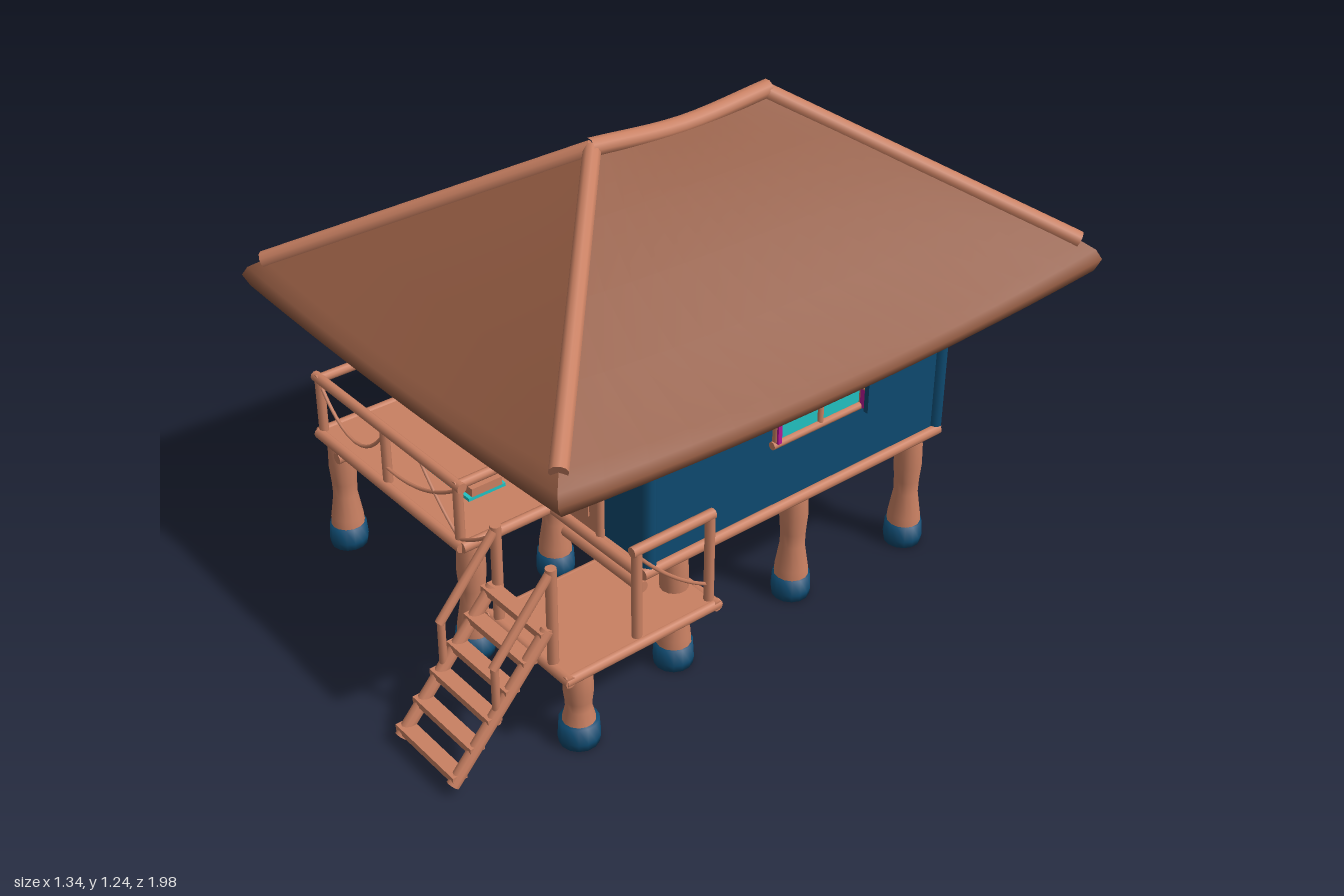
import * as THREE from 'three';

const mat = (name, color, side = THREE.FrontSide) => {
  const m = new THREE.MeshStandardMaterial({ color, side });
  m.name = name;
  return m;
};

export function createModel() {
  const root = new THREE.Group();
  root.name = 'stiltHouse';
  const wood = mat('wood', 0xc98062);
  const roofBrown = mat('roofBrown', 0x935b42, THREE.DoubleSide);
  const blue = mat('wallBlue', 0x0e4a70);
  const teal = mat('glassTeal', 0x22c2c2);
  const magenta = mat('shutterMagenta', 0xb81895);
  const V = (x, y, z) => new THREE.Vector3(x, y, z);

  const add = (name, geo, material, parent = root) => {
    const m = new THREE.Mesh(geo, material);
    m.name = name;
    parent.add(m);
    return m;
  };
  // box given by its min and max corners
  const box = (name, a, b, material, parent) => {
    const m = add(name, new THREE.BoxGeometry(b[0] - a[0], b[1] - a[1], b[2] - a[2]), material, parent);
    m.position.set((a[0] + b[0]) / 2, (a[1] + b[1]) / 2, (a[2] + b[2]) / 2);
    return m;
  };
  // round pole between two points
  const rod = (name, a, b, r, parent, material = wood) => {
    const p = V(...a), q = V(...b), d = q.clone().sub(p);
    const m = add(name, new THREE.CylinderGeometry(r, r, d.length(), 10), material, parent);
    m.position.copy(p).add(q).multiplyScalar(0.5);
    m.quaternion.setFromUnitVectors(V(0, 1, 0), d.normalize());
    return m;
  };
  const rope = (name, a, b, sag, parent) => {
    const p = V(...a), q = V(...b), mid = p.clone().add(q).multiplyScalar(0.5);
    mid.y -= sag * 2;
    add(name, new THREE.TubeGeometry(new THREE.QuadraticBezierCurve3(p, mid, q), 12, 0.005, 5), wood, parent);
  };

  // Hipped roof: each face runs ridge -> eave -> rounded lip -> underside
  const roof = new THREE.Group();
  roof.name = 'roof';
  root.add(roof);
  const rF = 0.16, rB = -0.4, ridgeY = 1.21;
  const ring = (w, zf, zb, y) => [V(-w, y, zf), V(w, y, zf), V(w, y, zb), V(-w, y, zb)];
  const ridgeAt = (y) => [V(0, y, rF), V(0, y, rF), V(0, y, rB), V(0, y, rB)];
  const eave = ring(0.62, 0.74, -0.95, 0.85);
  const top = ridgeAt(ridgeY);
  const slope = [0, 0.25, 0.5, 0.75, 1].map((v) => ({ c: top.map((p, i) => p.clone().lerp(eave[i], v)), sag: 0.045 * v * v }));
  const rings = [
    ...slope,
    { c: ring(0.655, 0.77, -0.98, 0.825), sag: 0.035 },
    { c: ring(0.67, 0.78, -0.99, 0.8), sag: 0.03 },
    { c: ring(0.66, 0.765, -0.975, 0.768), sag: 0.025 },
    { c: ring(0.63, 0.73, -0.94, 0.775), sag: 0.02 },
    { c: ridgeAt(1.14), sag: 0 },
  ];
  const N = 14;
  ['roofFront', 'roofRight', 'roofBack', 'roofLeft'].forEach((name, f) => {
    const pos = [], idx = [], side = f % 2 ? 1.3 : 0.7;
    rings.forEach(({ c, sag }, r) => {
      for (let i = 0; i <= N; i++) {
        const t = i / N, p = c[f].clone().lerp(c[(f + 1) % 4], t), bow = 4 * t * (1 - t);
        const dip = r === 0 && f % 2 ? 0.012 : sag * side;
        pos.push(p.x, p.y - bow * dip, p.z);
        if (r < rings.length - 1 && i < N) {
          const a = r * (N + 1) + i, b = a + N + 1;
          idx.push(a, b, b + 1, a, b + 1, a + 1);
        }
      }
    });
    const g = new THREE.BufferGeometry();
    g.setAttribute('position', new THREE.Float32BufferAttribute(pos, 3));
    g.setIndex(idx);
    g.computeVertexNormals();
    add(name, g, roofBrown, roof);
  });
  // hip and ridge poles
  eave.forEach((e, i) => rod('hipPole', [0, ridgeY, i < 2 ? rF : rB], [e.x, e.y, e.z], 0.023, roof));
  const ridgeCurve = new THREE.CatmullRomCurve3([V(0, 1.215, rF + 0.01), V(0, 1.193, -0.12), V(0, 1.215, rB - 0.01)]);
  add('ridgePole', new THREE.TubeGeometry(ridgeCurve, 12, 0.025, 10), wood, roof);

  // Walls with corner posts
  box('walls', [-0.51, 0.37, -0.59], [0.505, 0.86, 0.4], blue);
  for (const x of [-0.505, 0.5]) for (const z of [-0.585, 0.395]) rod('cornerPost', [x, 0.37, z], [x, 0.84, z], 0.02, root, blue);

  // Floor, front deck and edge beams
  box('floor', [-0.51, 0.345, -0.59], [0.51, 0.372, 0.42], wood);
  box('frontDeck', [-0.51, 0.345, 0.4], [0.15, 0.372, 0.69], wood);
  const edge = [[-0.51, 0.69], [0.15, 0.69], [0.15, 0.42], [0.51, 0.42], [0.51, -0.59], [-0.51, -0.59]];
  edge.forEach((p, i) => {
    const q = edge[(i + 1) % edge.length];
    rod('edgeBeam', [p[0], 0.362, p[1]], [q[0], 0.362, q[1]], 0.015);
  });
  rod('underBeam', [-0.41, 0.335, 0.7], [-0.41, 0.335, 0.23], 0.016);
  rod('underBeam', [0.21, 0.325, 0.42], [0.51, 0.325, 0.42], 0.016);

  // Turned stilts on painted feet
  const stilts = [[0.46, -0.54], [-0.02, -0.54], [-0.48, -0.41], [0.44, -0.14], [-0.41, 0.08], [-0.03, 0.28],
    [0.46, 0.28], [-0.49, 0.28], [0.11, 0.64], [-0.49, 0.64], [0.54, 0.64, 0.22]];
  const lathe = (pts) => new THREE.LatheGeometry(pts.map((p) => new THREE.Vector2(p[0], p[1])), 14);
  const footGeo = lathe([[0, 0], [0.05, 0], [0.053, 0.02], [0.05, 0.065], [0, 0.07]]);
  const legGeo = lathe([[0.046, 0.06], [0.044, 0.09], [0.033, 0.16], [0.034, 0.2], [0.038, 0.25], [0.036, 0.31], [0.032, 0.35]]);
  for (const [x, z, h = 0.35] of stilts) {
    add('stiltLeg', legGeo, wood).position.set(x, 0, z);
    root.children.at(-1).scale.y = h / 0.35;
    add('stiltFoot', footGeo, blue).position.set(x, 0, z);
  }

  // Window facing +z, centred on its own origin
  const makeWindow = (name, w, h, divider = true) => {
    const g = new THREE.Group();
    g.name = name;
    box('pane', [-w / 2, -h / 2, 0], [w / 2, h / 2, 0.008], teal, g);
    for (const s of [-1, 1]) {
      rod('frameSide', [s * w / 2, -h / 2, 0.008], [s * w / 2, h / 2, 0.008], 0.011, g);
      rod('frameRail', [-w / 2 - 0.015, s * h / 2, 0.008], [w / 2 + 0.015, s * h / 2, 0.008], 0.011, g);
    }
    if (divider) rod('mullion', [0, -h / 2, 0.008], [0, h / 2, 0.008], 0.009, g);
    root.add(g);
    return g;
  };
  makeWindow('frontWindow', 0.41, 0.19).position.set(-0.275, 0.655, 0.403);
  const sideWindow = makeWindow('sideWindow', 0.29, 0.145);
  sideWindow.position.set(0.508, 0.635, -0.14);
  sideWindow.rotation.y = Math.PI / 2;
  const backWindow = makeWindow('backWindow', 0.29, 0.145);
  backWindow.position.set(0.19, 0.635, -0.593);
  backWindow.rotation.y = Math.PI;
  const smallBack = makeWindow('smallBackWindow', 0.13, 0.09, false);
  smallBack.position.set(-0.04, 0.61, -0.593);
  smallBack.rotation.y = Math.PI;
  // narrow shutters standing open
  box('sideShutter', [0.515, 0.56, -0.3], [0.535, 0.7, -0.275], magenta);
  box('sideShutter', [0.515, 0.57, 0], [0.53, 0.7, 0.012], magenta);
  box('openShutter', [0.553, 0.57, -0.27], [0.567, 0.67, -0.255], blue);
  rod('shutterStay', [0.51, 0.63, -0.262], [0.56, 0.63, -0.262], 0.004);
  for (const x of [0.05, -0.28]) {
    box('backShutter', [x - 0.012, 0.56, -0.63], [x + 0.012, 0.68, -0.605], magenta);
    rod('shutterStay', [x, 0.64, -0.58], [x, 0.64, -0.61], 0.004);
  }

  // Door and lamp
  box('door', [0.145, 0.37, 0.4], [0.335, 0.77, 0.412], wood);
  for (const x of [0.14, 0.335]) rod('doorPost', [x, 0.37, 0.41], [x, 0.8, 0.41], 0.011);
  box('doorPanel', [0.185, 0.41, 0.411], [0.295, 0.69, 0.416], wood);
  rod('wallLamp', [0.06, 0.67, 0.42], [0.06, 0.71, 0.42], 0.008);

  // Deck railing with hanging ropes
  const rail = new THREE.Group();
  rail.name = 'deckRailing';
  root.add(rail);
  const posts = [-0.5, -0.19, 0.13];
  for (const x of posts) rod('railPost', [x, 0.36, 0.68], [x, 0.53, 0.68], 0.013, rail);
  rod('topRail', [-0.52, 0.53, 0.68], [0.15, 0.53, 0.68], 0.014, rail);
  for (const x of [-0.5, 0.13]) rod('sideRail', [x, 0.53, 0.69], [x, 0.53, 0.4], 0.013, rail);
  rope('rope', [-0.48, 0.51, 0.685], [-0.19, 0.51, 0.685], 0.09, rail);
  rope('rope', [-0.19, 0.42, 0.685], [0.12, 0.51, 0.685], 0.03, rail);
  rope('rope', [-0.02, 0.52, 0.685], [0.13, 0.38, 0.685], 0.01, rail);
  rope('rope', [0.14, 0.38, 0.685], [0.3, 0.49, 0.685], 0.01, rail);

  // Small table with a teal dish
  box('tableTop', [-0.12, 0.452, 0.53], [0.1, 0.475, 0.62], wood);
  rod('tableLeg', [-0.03, 0.37, 0.575], [-0.03, 0.455, 0.575], 0.014);
  box('dish', [-0.1, 0.443, 0.52], [0.1, 0.452, 0.63], teal);

  // Lower landing with its railing
  box('landing', [0.26, 0.212, 0.24], [0.57, 0.235, 0.69], wood);
  for (const z of [0.24, 0.69]) rod('landingBeam', [0.25, 0.222, z], [0.58, 0.222, z], 0.015);
  for (const x of [0.26, 0.57]) rod('landingBeam', [x, 0.222, 0.23], [x, 0.222, 0.7], 0.014);
  for (const z of [0.25, 0.475]) rod('landingPost', [0.555, 0.22, z], [0.555, 0.49, z], 0.013);
  rod('landingRail', [0.555, 0.485, 0.24], [0.555, 0.485, 0.49], 0.014);
  rope('landingRope', [0.555, 0.47, 0.475], [0.555, 0.28, 0.25], 0.02);

  // Stairs: stringers, hand rails and round treads
  for (const x of [0.29, 0.505]) {
    rod('stringer', [x, 0.025, 0.98], [x, 0.335, 0.7], 0.017);
    rod('stairPost', [x, 0.22, 0.685], [x, 0.505, 0.685], 0.014);
    rod('handRail', [x, 0.3, 0.855], [x, 0.49, 0.69], 0.012);
    rod('lowerPost', [x, 0.14, 0.85], [x, 0.31, 0.85], 0.01);
  }
  for (let i = 0; i < 6; i++) {
    const y = 0.045 + i * 0.057, z = 0.965 - i * 0.052;
    box('tread', [0.275, y - 0.009, z - 0.02], [0.515, y + 0.009, z + 0.02], wood);
  }
  return root;
}
